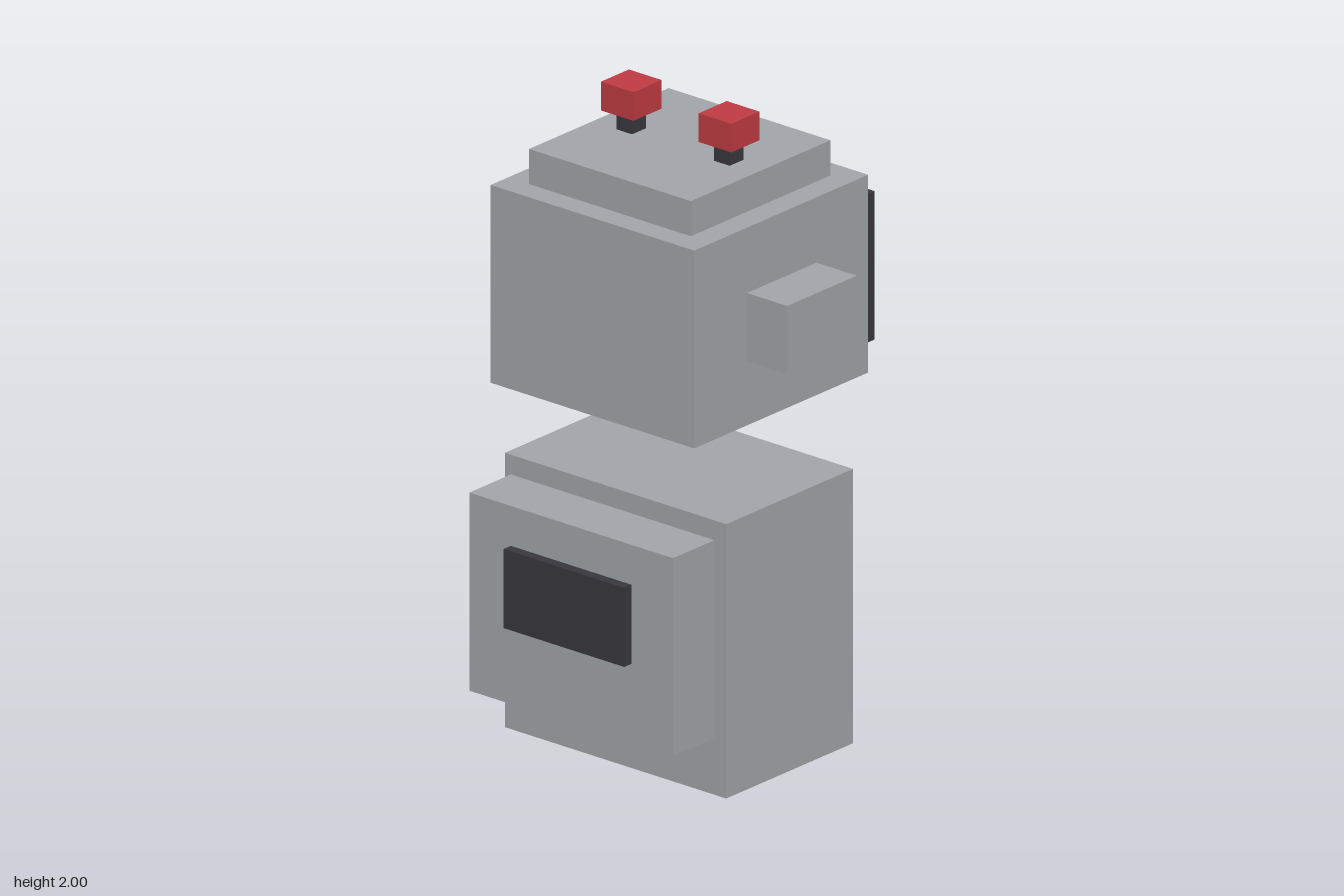
import * as THREE from 'three';

const mat = (name, color) => {
  const m = new THREE.MeshStandardMaterial({ color });
  m.name = name;
  return m;
};

export function createModel() {
  const grey = mat('grey metal', 0xa4a8ac);
  const dark = mat('dark panel', 0x38383f);
  const red = mat('red', 0xc23c43);
  const green = mat('green', 0x78bf6d);
  const blue = mat('blue', 0x3f7ec8);
  const yellow = mat('yellow', 0xc8a83c);

  const model = new THREE.Group();
  model.name = 'robot';
  const head = new THREE.Group();
  head.name = 'head';
  const torso = new THREE.Group();
  torso.name = 'torso';
  model.add(head, torso);

  // Box given by its extents on each axis
  const box = (parent, name, material, [x0, x1], [y0, y1], [z0, z1]) => {
    const mesh = new THREE.Mesh(new THREE.BoxGeometry(x1 - x0, y1 - y0, z1 - z0), material);
    mesh.position.set((x0 + x1) / 2, (y0 + y1) / 2, (z0 + z1) / 2);
    mesh.name = name;
    parent.add(mesh);
  };
  // The same box on both sides of x = 0
  const pair = (parent, name, material, [x0, x1], y, z) => {
    box(parent, name + 'Left', material, [x0, x1], y, z);
    box(parent, name + 'Right', material, [-x1, -x0], y, z);
  };

  // Head, with the face on the -z side
  box(head, 'skull', grey, [-0.39, 0.39], [1.12, 1.74], [-0.41, 0.365]);
  box(head, 'crown', grey, [-0.31, 0.31], [1.74, 1.85], [-0.335, 0.287]);
  pair(head, 'ear', grey, [0.39, 0.544], [1.32, 1.535], [-0.18, 0.13]);
  pair(head, 'antennaStem', dark, [0.157, 0.217], [1.85, 1.91], [-0.056, 0.006]);
  pair(head, 'antennaTip', red, [0.125, 0.25], [1.91, 2], [-0.088, 0.037]);
  box(head, 'facePlate', dark, [-0.358, 0.358], [1.195, 1.66], [-0.476, -0.41]);
  pair(head, 'eye', green, [0.084, 0.227], [1.42, 1.56], [-0.492, -0.476]);
  box(head, 'mouth', grey, [-0.264, 0.264], [1.265, 1.34], [-0.492, -0.476]);

  // Torso and the separate pack on the +z side
  box(torso, 'body', grey, [-0.424, 0.424], [0, 0.86], [-0.303, 0.262]);
  box(torso, 'pack', grey, [-0.39, 0.39], [0.184, 0.805], [0.275, 0.46]);
  box(torso, 'packPanel', dark, [-0.231, 0.231], [0.432, 0.68], [0.46, 0.492]);

  // Control panel with a screen and four buttons
  box(torso, 'controlPanel', grey, [-0.31, 0.31], [0.323, 0.79], [-0.376, -0.303]);
  box(torso, 'screen', dark, [-0.22, -0.032], [0.53, 0.695], [-0.415, -0.376]);
  const buttons = [
    ['redButton', red, 0.192, 0.62], ['greenButton', green, 0.098, 0.62],
    ['blueButton', blue, 0.192, 0.496], ['yellowButton', yellow, 0.098, 0.496],
  ];
  for (const [name, material, x, y] of buttons) {
    box(torso, name, material, [x, x + 0.06], [y, y + 0.06], [-0.433, -0.376]);
  }
  return model;
}
